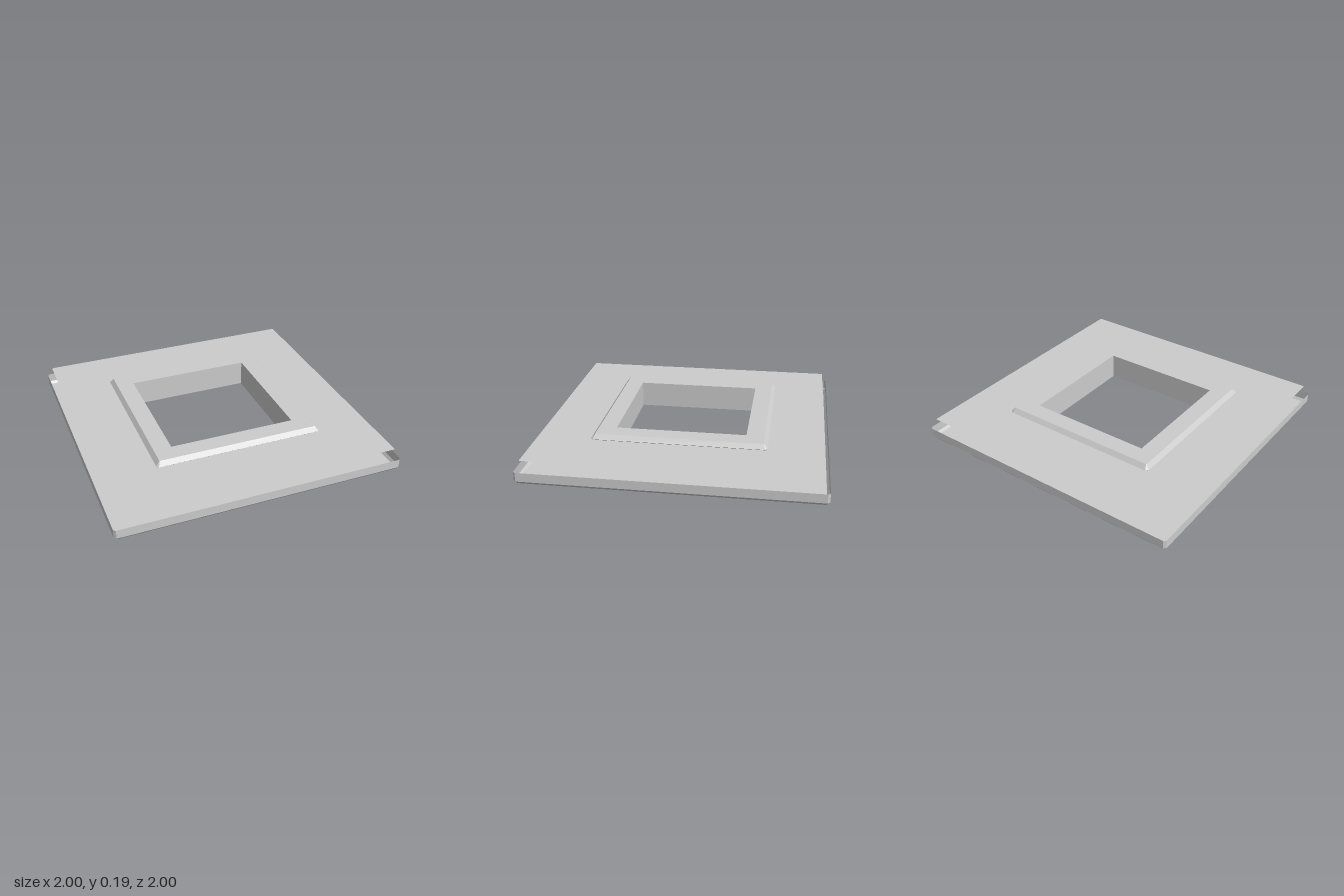
import * as THREE from 'three';

// Square ring with clipped corners, anticlockwise seen from above
function squareRing([half, clip, y]) {
  const inner = half - clip;
  return [
    [-inner, half], [inner, half], [half, inner], [half, -inner],
    [inner, -half], [-inner, -half], [-half, -inner], [-half, inner],
  ].map(([x, z]) => new THREE.Vector3(x, y, z));
}

// Skin a list of [half width, corner clip, height] rings with flat faces
function skin(profile) {
  const rings = profile.map(squareRing);
  const points = [];
  const addTriangle = (a, b, c) => {
    if (new THREE.Triangle(a, b, c).getArea() > 1e-7) points.push(a, b, c);
  };
  for (let r = 0; r < rings.length - 1; r++) {
    const low = rings[r], high = rings[r + 1];
    for (let i = 0; i < 8; i++) {
      const j = (i + 1) % 8;
      addTriangle(low[i], low[j], high[j]);
      addTriangle(low[i], high[j], high[i]);
    }
  }
  const geometry = new THREE.BufferGeometry().setFromPoints(points);
  geometry.computeVertexNormals();
  return geometry;
}

export function createModel() {
  const group = new THREE.Group();
  const grey = new THREE.MeshStandardMaterial({
    name: 'light grey', color: 0xcccccc, side: THREE.DoubleSide, flatShading: true,
  });
  const hole = 0.445;

  const parts = {
    // open tray: floor, bevelled lower edge and thin upright rim
    tray: [[hole, 0, 0], [0.985, 0.008, 0], [1, 0.015, 0.018], [1, 0.015, 0.08]],
    // thin sheet raised above the tray
    coverSheet: [[0.965, 0.006, 0.15], [hole, 0, 0.15]],
    // sloped collar around the opening
    collar: [[hole, 0, 0.152], [0.588, 0.008, 0.152], [0.594, 0.014, 0.157],
      [0.568, 0.004, 0.188], [hole, 0, 0.188]],
    // square shaft lining the opening
    shaft: [[hole, 0, 0.188], [hole, 0, 0]],
  };

  for (const [name, profile] of Object.entries(parts)) {
    const mesh = new THREE.Mesh(skin(profile), grey);
    mesh.name = name;
    group.add(mesh);
  }
  return group;
}
